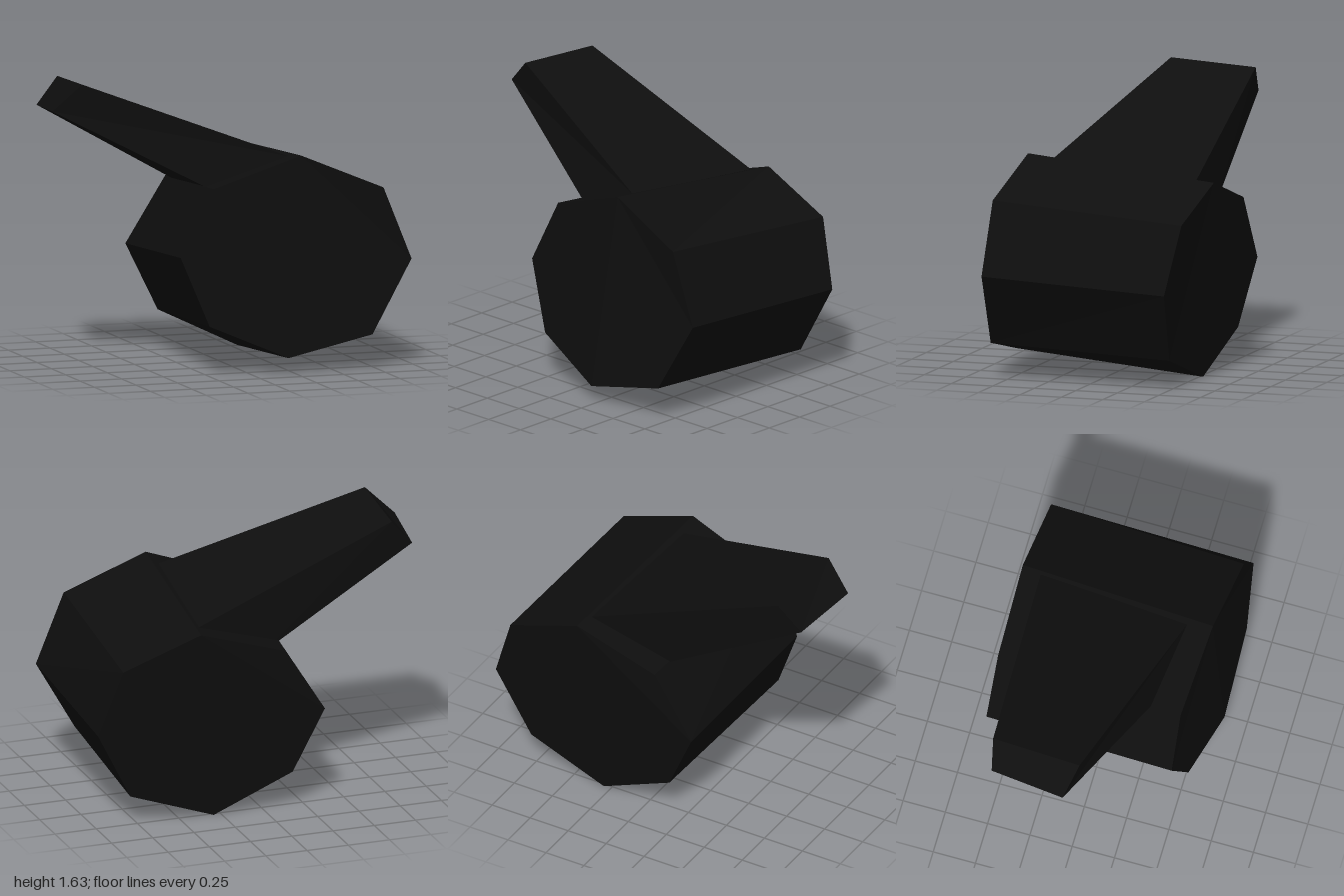
import * as THREE from 'three';

// Closed solid between two matching loops; loop a runs counter-clockwise seen from outside
function loft(a, b) {
  const pos = [];
  const tri = (...pts) => pts.forEach((p) => pos.push(...p));
  const n = a.length;
  for (let i = 0; i < n; i++) {
    const j = (i + 1) % n;
    tri(a[i], b[i], b[j]);
    tri(a[i], b[j], a[j]);
    if (i > 0 && i < n - 1) {
      tri(a[0], a[i], a[j]);
      tri(b[0], b[j], b[i]);
    }
  }
  const g = new THREE.BufferGeometry();
  g.setAttribute('position', new THREE.Float32BufferAttribute(pos, 3));
  g.computeVertexNormals();
  return g;
}

export function createModel() {
  const black = new THREE.MeshStandardMaterial({ color: 0x0e0e0e, flatShading: true });
  black.name = 'black';
  const group = new THREE.Group();
  group.name = 'whistle';
  const add = (name, a, b) => {
    const mesh = new THREE.Mesh(loft(a, b), black);
    mesh.name = name;
    group.add(mesh);
  };

  // Eight-sided chamber, slightly tilted
  const front = [
    [0.32, 1.235, 0.525], [-0.19, 1.06, 0.48], [-0.39, 0.675, 0.485], [-0.235, 0.28, 0.54],
    [0.21, 0.09, 0.625], [0.72, 0.2, 0.61], [0.965, 0.62, 0.58], [0.8, 1.035, 0.57],
  ];
  const back = [
    [0.41, 1.14, -0.625], [-0.1, 0.98, -0.625], [-0.34, 0.6, -0.625], [-0.165, 0.22, -0.57],
    [0.295, 0, -0.52], [0.79, 0.165, -0.49], [1, 0.57, -0.53], [0.87, 0.96, -0.59],
  ];
  add('chamber', front, back);

  // Tapered mouthpiece running from its tip down into the chamber
  const tip = [[-0.945, 1.455, -0.42], [-1, 1.48, 0.015], [-0.84, 1.635, 0.07], [-0.81, 1.61, -0.45]];
  const root = [[-0.05, 0.95, -0.48], [-0.05, 0.98, 0.345], [0.3, 1.21, 0.38], [0.38, 1.145, -0.51]];
  add('mouthpiece', tip, root);

  return group;
}
